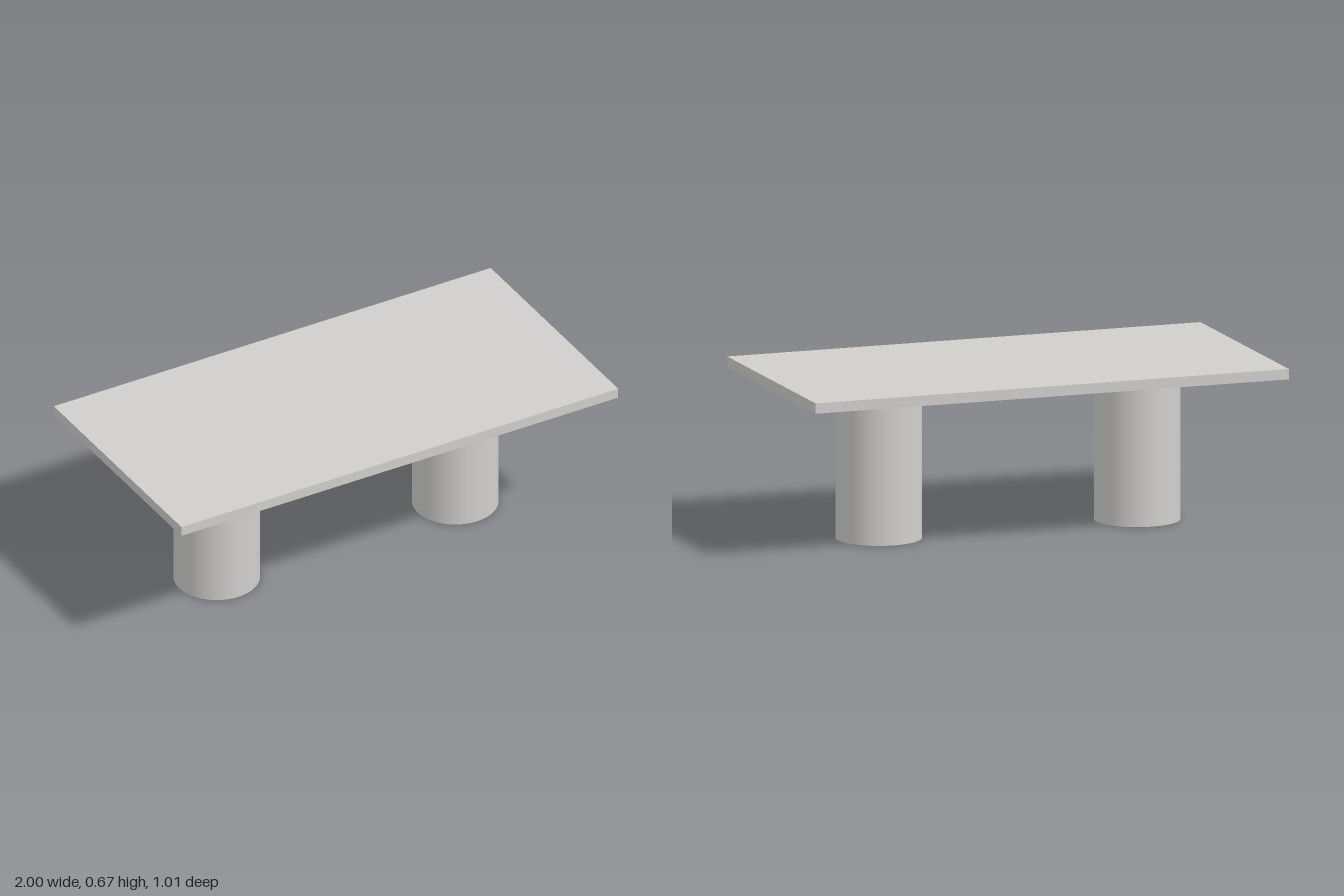
import * as THREE from 'three';

export function createModel() {
  const model = new THREE.Group();
  model.name = 'table';

  const stone = new THREE.MeshStandardMaterial({ color: 0xd0cfcc });
  stone.name = 'pale grey';

  const height = 0.668, thickness = 0.042, legHeight = height - thickness;

  // Flat rectangular slab
  const top = new THREE.Mesh(new THREE.BoxGeometry(2, thickness, 1.01), stone);
  top.name = 'tableTop';
  top.position.y = height - thickness / 2;
  model.add(top);

  // Two round pedestals, mirrored across the middle
  const legGeometry = new THREE.CylinderGeometry(0.172, 0.172, legHeight, 64);
  for (const [name, side] of [['leftLeg', 1], ['rightLeg', -1]]) {
    const leg = new THREE.Mesh(legGeometry, stone);
    leg.name = name;
    leg.position.set(side * 0.546, legHeight / 2, 0);
    model.add(leg);
  }

  return model;
}
